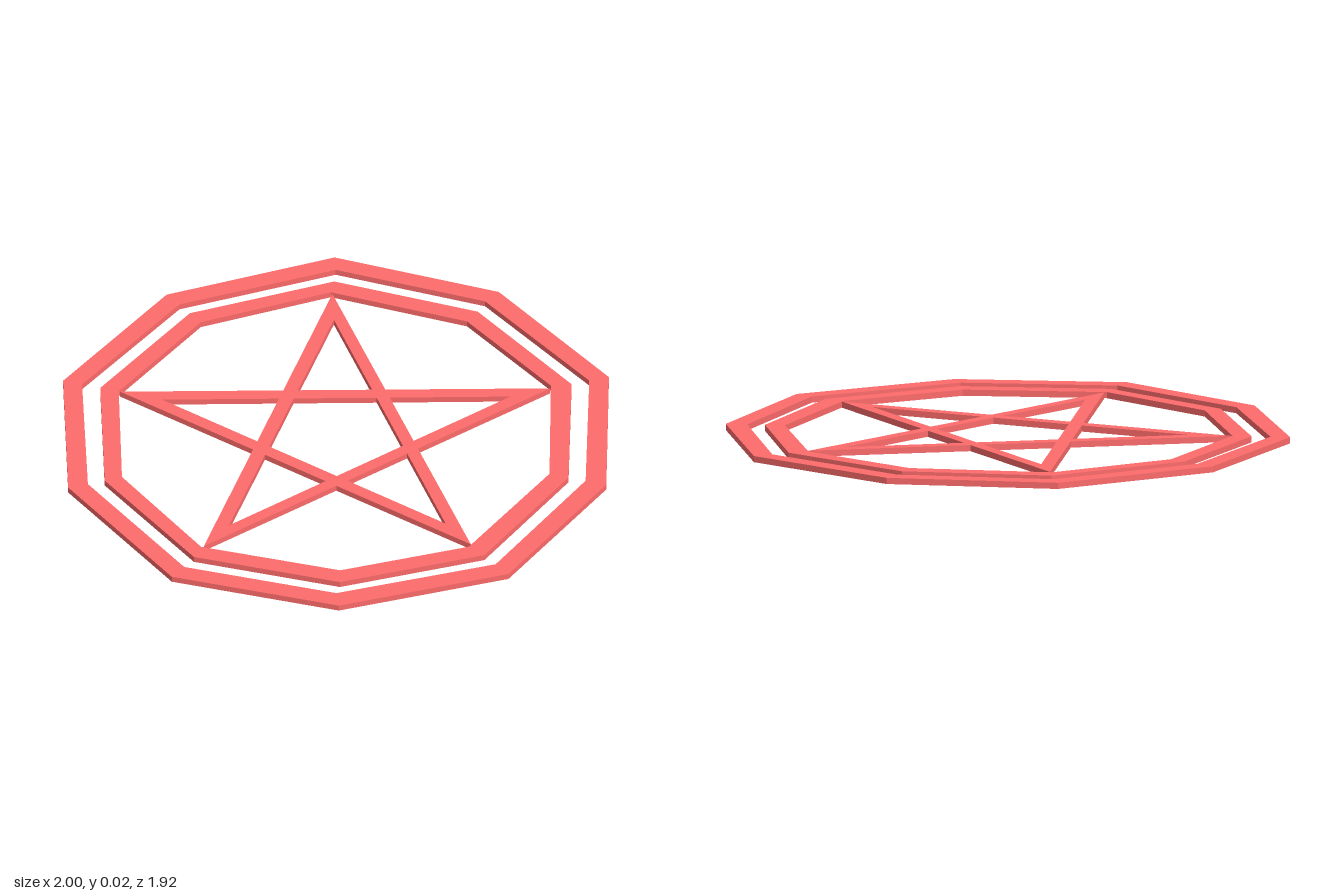
import * as THREE from 'three';

const THICKNESS = 0.022;
const material = new THREE.MeshStandardMaterial({ color: 0xff6b6b, flatShading: true });

const vectors = (pts) => pts.map(([x, y]) => new THREE.Vector2(x, y));

// Completes a half outline (from -x end to +x end) by mirroring it across the x axis, counter-clockwise.
function mirrored(half) {
  const lower = half.map(([x, y]) => [x, -y]);
  const upper = half.slice(1, -1).reverse();
  return vectors([...lower, ...upper]);
}

// Flat plate lying on the ground, with holes cut through; the outline runs counter-clockwise.
function plate(name, outline, holes) {
  const shape = new THREE.Shape(outline);
  holes.forEach((h) => shape.holes.push(new THREE.Path(h)));
  const geometry = new THREE.ExtrudeGeometry(shape, { depth: THICKNESS, bevelEnabled: false });
  geometry.rotateX(-Math.PI / 2);
  const mesh = new THREE.Mesh(geometry, material);
  mesh.name = name;
  return mesh;
}

// Intersection of two lines, each given as a pair of points.
function cross([a, b], [c, d]) {
  const r = b.clone().sub(a);
  const s = d.clone().sub(c);
  const t = c.clone().sub(a).cross(s) / r.cross(s);
  return a.clone().addScaledVector(r, t);
}

// Interlaced five-pointed star: ten-sided outline, five tip holes, one central hole.
function star() {
  const tips = vectors([[-0.79, 0], [-0.245, -0.758], [0.648, -0.469], [0.648, 0.469], [-0.245, 0.758]]);
  const innerTips = vectors([[-0.635, 0], [-0.196, -0.618], [0.528, -0.382], [0.528, 0.382], [-0.196, 0.618]]);
  const at = (list, k) => list[(k + 5) % 5];
  const outer = tips.map((p, k) => [p, at(tips, k + 2)]);
  const inner = innerTips.map((p, k) => [p, at(innerTips, k + 2)]);

  const outline = [];
  const centre = [];
  const holes = [];
  for (let k = 0; k < 5; k++) {
    outline.push(tips[k], cross(outer[k], at(outer, k - 1)));
    centre.push(cross(inner[k], at(inner, k + 1)));
    const base = at(outer, k - 1);
    holes.push([innerTips[k], cross(inner[k], base), cross(at(inner, k - 2), base)]);
  }
  return plate('star', outline, [centre, ...holes]);
}

export function createModel() {
  const group = new THREE.Group();
  group.name = 'starInRings';

  // Two ten-sided frames
  group.add(plate('outerRing',
    mirrored([[-1, 0], [-0.8, 0.58], [-0.3, 0.96], [0.31, 0.943], [0.825, 0.592], [1, 0]]),
    [mirrored([[-0.93, 0], [-0.74, 0.54], [-0.275, 0.893], [0.28, 0.877], [0.765, 0.552], [0.924, 0]])]));
  group.add(plate('innerRing',
    mirrored([[-0.863, 0], [-0.69, 0.503], [-0.26, 0.828], [0.273, 0.813], [0.712, 0.514], [0.861, 0]]),
    [mirrored([[-0.795, 0], [-0.638, 0.465], [-0.253, 0.765], [0.254, 0.748], [0.645, 0.484], [0.791, 0]])]));

  group.add(star());
  return group;
}
